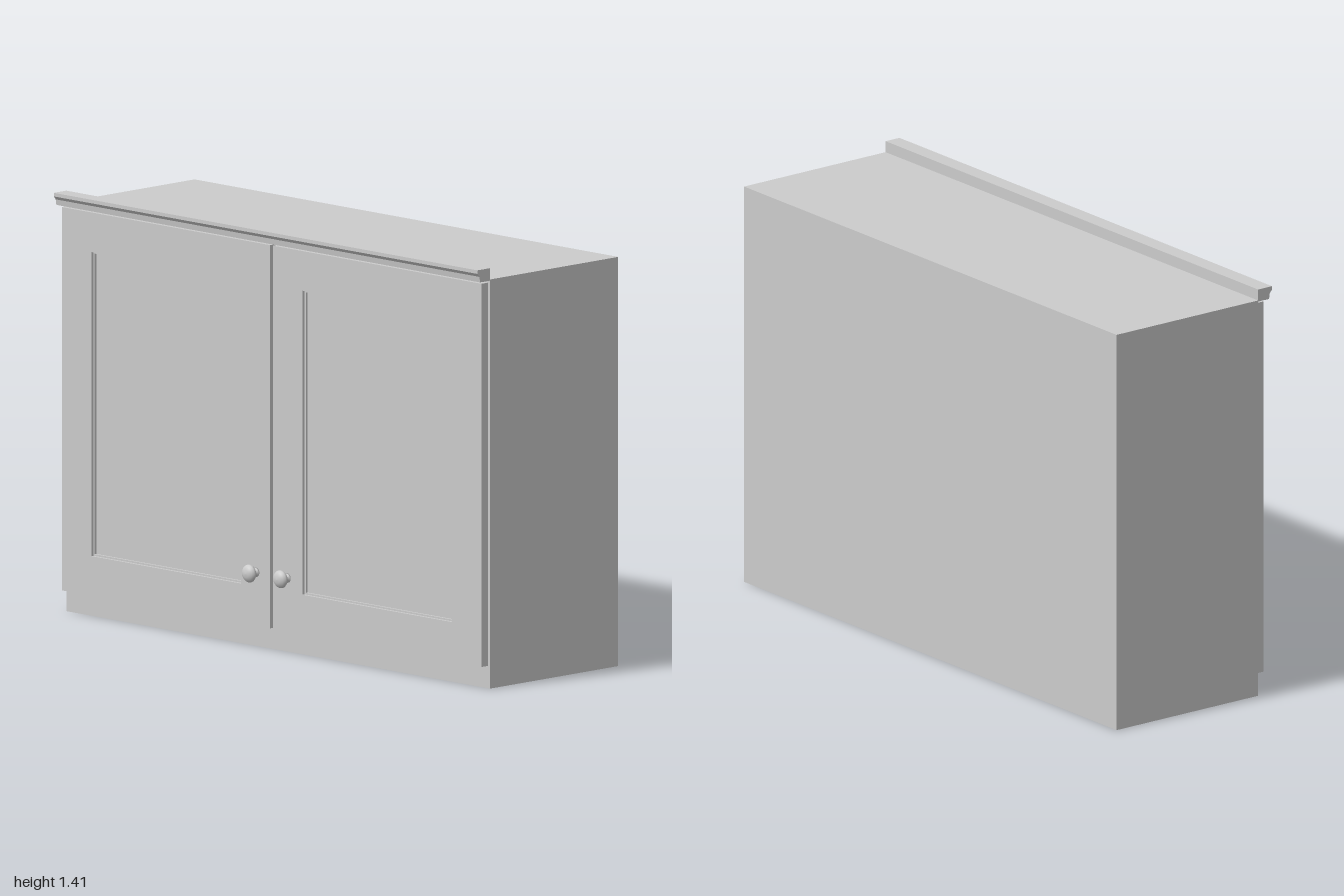
import * as THREE from 'three';

const W = 2, BACK = -0.337, FRONT = 0.257, TOP = 1.375;
const DOOR_BOTTOM = 0.075, DOOR_TOP = 1.363, DOOR_T = 0.03;

const material = new THREE.MeshStandardMaterial({ color: 0xcccccc });

function add(parent, name, geometry, x = 0, y = 0, z = 0) {
  const mesh = new THREE.Mesh(geometry, material);
  mesh.name = name;
  mesh.position.set(x, y, z);
  parent.add(mesh);
  return mesh;
}

function rectPoints(w, h) {
  return [[-w / 2, -h / 2], [w / 2, -h / 2], [w / 2, h / 2], [-w / 2, h / 2]]
    .map(([x, y]) => new THREE.Vector2(x, y));
}

// Rectangular ring in the xy plane, extruded along +z
function ring(w, h, innerW, innerH, depth) {
  const shape = new THREE.Shape(rectPoints(w, h));
  shape.holes.push(new THREE.Path(rectPoints(innerW, innerH)));
  return new THREE.ExtrudeGeometry(shape, { depth, bevelEnabled: false });
}

// Framed door with a recessed panel, centred on its own origin
function makeDoor(side) {
  const door = new THREE.Group();
  door.name = side > 0 ? 'leftDoor' : 'rightDoor';
  const w = 0.983, h = DOOR_TOP - DOOR_BOTTOM;
  const openW = 0.706, openH = 1.022, bead = 0.006;
  add(door, 'doorFrame', ring(w, h, openW, openH, DOOR_T));
  add(door, 'panelBead', ring(openW, openH, openW - 2 * bead, openH - 2 * bead, 0.02));
  add(door, 'doorPanel', new THREE.BoxGeometry(openW, openH, 0.012), 0, 0, 0.006);
  door.position.set(side * 0.4985, (DOOR_BOTTOM + DOOR_TOP) / 2, FRONT);
  return door;
}

// Turned knob, revolved about z
function makeKnob(side) {
  const profile = [
    [0, 0], [0.016, 0], [0.014, 0.004], [0.009, 0.009], [0.009, 0.014],
    [0.016, 0.019], [0.026, 0.024], [0.03, 0.03], [0.029, 0.036],
    [0.023, 0.043], [0.012, 0.048], [0, 0.049],
  ].map(([r, y]) => new THREE.Vector2(r, y));
  const geometry = new THREE.LatheGeometry(profile, 32);
  geometry.rotateX(Math.PI / 2);
  const knob = new THREE.Mesh(geometry, material);
  knob.name = side > 0 ? 'leftKnob' : 'rightKnob';
  knob.position.set(side * 0.074, 0.255, FRONT + DOOR_T);
  return knob;
}

export function createModel() {
  const model = new THREE.Group();
  model.name = 'wallCabinet';
  const depth = FRONT - BACK, midZ = (FRONT + BACK) / 2;

  // Closed body above an open recess on the underside
  const cabinet = new THREE.Group();
  cabinet.name = 'cabinet';
  model.add(cabinet);
  add(cabinet, 'cabinetBody', new THREE.BoxGeometry(W, TOP - DOOR_BOTTOM, depth),
    0, (TOP + DOOR_BOTTOM) / 2, midZ);
  const rim = ring(W, depth, W - 0.08, depth - 0.08, DOOR_BOTTOM);
  rim.rotateX(-Math.PI / 2);
  add(cabinet, 'bottomRim', rim, 0, 0, midZ);

  // Doors and knobs
  for (const side of [-1, 1]) {
    model.add(makeDoor(side));
    model.add(makeKnob(side));
  }

  // Cornice: profile drawn as (-z, y), extruded across the width
  const profile = [
    [0.257, 1.371], [0.257, 1.413], [0.315, 1.413], [0.315, 1.401],
    [0.306, 1.39], [0.303, 1.371],
  ].map(([z, y]) => new THREE.Vector2(-z, y));
  const cornice = new THREE.ExtrudeGeometry(new THREE.Shape(profile), { depth: W, bevelEnabled: false });
  cornice.rotateY(Math.PI / 2);
  add(model, 'cornice', cornice, -W / 2);

  return model;
}
